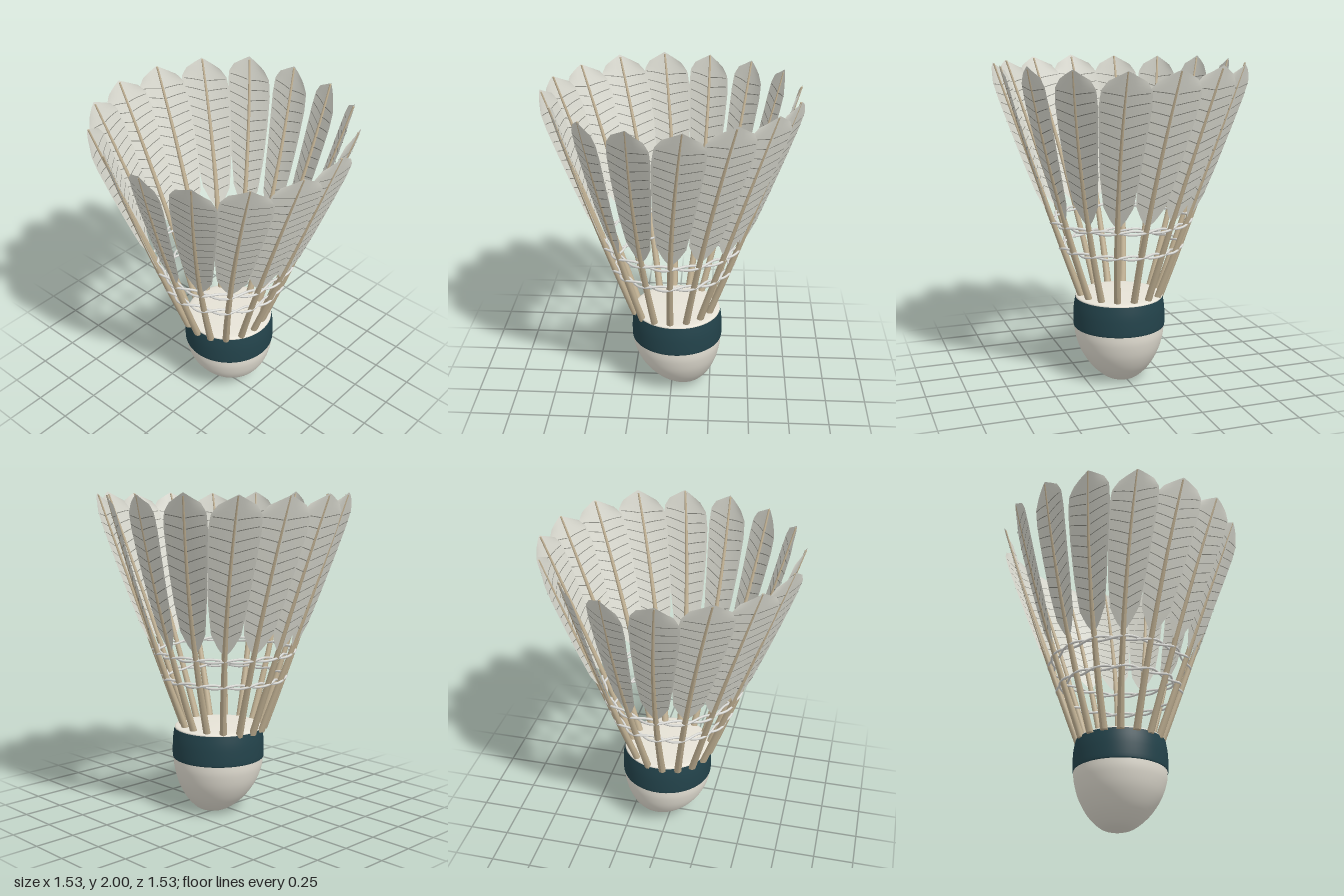
import * as THREE from 'three';
import { mergeGeometries } from 'three/addons/utils/BufferGeometryUtils.js';

const mat = (name, color, side = THREE.FrontSide) => {
  const m = new THREE.MeshStandardMaterial({ color, side });
  m.name = name;
  return m;
};

const COUNT = 16;
const QUILL_BOTTOM = 0.52, QUILL_TOP = 1.98, VANE_BOTTOM = 1.06;

// Centre line of a quill: x is tangential, z is radial
function spine(y) {
  const t = (y - QUILL_BOTTOM) / (QUILL_TOP - QUILL_BOTTOM);
  return { x: 0.09 * t * t, z: 0.25 + 0.55 * t - 0.047 * t * t };
}

// Half width of the vane along its length
const WIDTHS = [[0, 0], [0.06, 0.045], [0.15, 0.088], [0.35, 0.115], [0.6, 0.136], [0.8, 0.148], [0.92, 0.142], [1, 0.105]];
function halfWidth(s) {
  for (let i = 1; i < WIDTHS.length; i++) {
    const [s0, w0] = WIDTHS[i - 1], [s1, w1] = WIDTHS[i];
    if (s <= s1) return w0 + (w1 - w0) * (s - s0) / (s1 - s0);
  }
  return 0.105;
}

// Point on the tilted, slightly cupped vane; s runs up, u runs across
function vanePoint(s, u, lift = 0) {
  const y = VANE_BOTTOM + 0.94 * s - 0.055 * Math.abs(u) * s ** 6;
  const c = spine(y), d = u * halfWidth(s);
  return [c.x + d * 0.985, y, c.z + d * 0.17 - 0.015 * u * u * s + lift];
}

function remap(geo, rule) {
  const p = geo.attributes.position;
  for (let i = 0; i < p.count; i++) p.setXYZ(i, ...rule(p.getX(i), p.getY(i), p.getZ(i)));
  geo.computeVertexNormals();
  return geo;
}

function vaneGeometry() {
  return remap(new THREE.PlaneGeometry(2, 1, 6, 40), (x, y) => vanePoint(y + 0.5, x));
}

// Thin slanted barb lines on both faces of the vane
function barbGeometry() {
  const strips = [];
  for (let i = 0; i < 12; i++) {
    const s0 = 0.13 + i * 0.066;
    for (const side of [-1, 1]) for (const lift of [-0.004, 0.004]) {
      strips.push(remap(new THREE.PlaneGeometry(1, 1, 4, 1), (x, y) => {
        const k = x + 0.5;
        return vanePoint(s0 + 0.045 * k + y * 0.005, side * (0.08 + 0.84 * k), lift);
      }));
    }
  }
  return mergeGeometries(strips);
}

function quillGeometry() {
  const h = QUILL_TOP - QUILL_BOTTOM;
  return remap(new THREE.CylinderGeometry(0.006, 0.023, h, 10, 20), (x, y, z) => {
    const yy = y + h / 2 + QUILL_BOTTOM, c = spine(yy);
    return [x + c.x, yy, z + c.z];
  });
}

// Lathe whose axis leans sideways towards the bottom
function leaningLathe(points, steps) {
  const curve = new THREE.SplineCurve(points.map(([r, y]) => new THREE.Vector2(r, y)));
  const geo = new THREE.LatheGeometry(curve.getPoints(steps).map(p => p.set(Math.max(p.x, 0), Math.max(p.y, 0))), 64);
  const p = geo.attributes.position;
  for (let i = 0; i < p.count; i++) {
    const low = Math.max(0, 1 - p.getY(i) / 0.35);
    p.setX(i, p.getX(i) + 0.032 + 0.05 * low * low);
    p.setZ(i, p.getZ(i) + 0.02);
  }
  return geo;
}

// One strand weaving in and out around the quills
function strandGeometry(radius, y, phase) {
  const pts = [];
  const n = COUNT * 8;
  for (let i = 0; i < n; i++) {
    const a = i / n * Math.PI * 2, w = a * COUNT / 2 + phase;
    const r = radius + 0.02 * Math.cos(w);
    pts.push(new THREE.Vector3(Math.sin(a) * r, y + 0.01 * Math.sin(w), Math.cos(a) * r));
  }
  return new THREE.TubeGeometry(new THREE.CatmullRomCurve3(pts, true), 192, 0.0075, 6, true);
}

export function createModel() {
  const cork = mat('cork white', 0xe6e2d6);
  const teal = mat('band teal', 0x23434b);
  const feather = mat('feather white', 0xdcdcd2, THREE.DoubleSide);
  const barb = mat('barb grey', 0x85857d, THREE.DoubleSide);
  const tan = mat('quill tan', 0xc2b294);
  const thread = mat('thread white', 0xdededa);

  const model = new THREE.Group();
  model.name = 'shuttlecock';
  const add = (parent, name, geo, material) => {
    const m = new THREE.Mesh(geo, material);
    m.name = name;
    parent.add(m);
    return m;
  };

  // Cork base
  add(model, 'corkNose', leaningLathe([[0, 0], [0.08, 0.012], [0.14, 0.048], [0.2, 0.11], [0.25, 0.195], [0.278, 0.285], [0.284, 0.35]], 28), cork);
  add(model, 'corkBand', leaningLathe([[0.284, 0.345], [0.289, 0.36], [0.287, 0.46], [0.276, 0.535]], 10), teal);
  add(model, 'corkTop', leaningLathe([[0.274, 0.53], [0.266, 0.545], [0.19, 0.552], [0, 0.556]], 14), cork);

  // Ring of feathers with slightly uneven tips
  const vane = vaneGeometry(), barbs = barbGeometry(), quill = quillGeometry();
  for (let i = 0; i < COUNT; i++) {
    const g = new THREE.Group();
    g.name = 'feather' + (i + 1);
    g.rotation.y = i / COUNT * Math.PI * 2;
    const stretch = 1 - 0.008 * Math.abs(Math.sin(i * 2.3 + 1));
    add(g, 'quill', quill, tan);
    for (const m of [add(g, 'vane', vane, feather), add(g, 'barbs', barbs, barb)]) m.scale.y = stretch;
    model.add(g);
  }

  // Two thread rings, each of two interlaced strands
  for (const [name, r, y] of [['upperThread', 0.425, 1.025], ['lowerThread', 0.37, 0.86]]) {
    for (const phase of [0, Math.PI]) add(model, name, strandGeometry(r, y, phase), thread);
  }
  return model;
}
